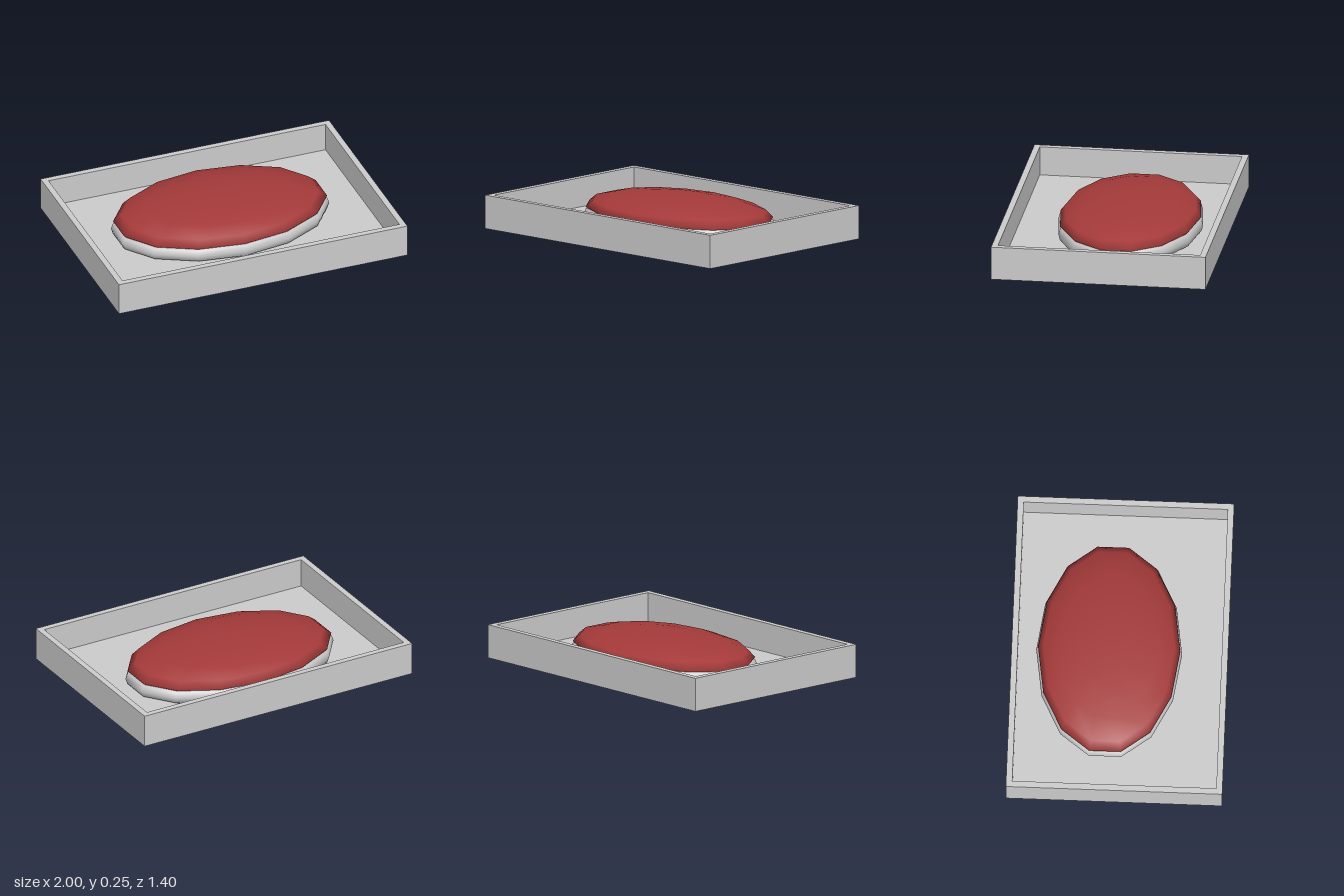
import * as THREE from 'three';

const SIDES = 14;
const CENTER_Z = -0.07;

function rectangle(PathType, w, d) {
  return new PathType([[-1, -1], [1, -1], [1, 1], [-1, 1]]
    .map(([x, y]) => new THREE.Vector2(x * w / 2, y * d / 2)));
}

export function createModel() {
  const group = new THREE.Group();
  const grey = new THREE.MeshStandardMaterial({ color: 0xcccccc });
  const red = new THREE.MeshStandardMaterial({ color: 0xa53a3a });

  function add(name, geometry, material, y = 0, z = 0) {
    const mesh = new THREE.Mesh(geometry, material);
    mesh.name = name;
    mesh.position.set(0, y, z);
    group.add(mesh);
  }

  // Rectangular tray: four walls and a thin floor
  const outline = rectangle(THREE.Shape, 2, 1.4);
  outline.holes.push(rectangle(THREE.Path, 1.92, 1.32));
  const walls = new THREE.ExtrudeGeometry(outline, { depth: 0.22, bevelEnabled: false });
  add('trayWalls', walls.rotateX(-Math.PI / 2), grey);
  add('trayFloor', new THREE.BoxGeometry(1.92, 0.028, 1.32), grey, 0.014);

  // Oval ring that holds the cushion, corners on the z axis
  const ring = new THREE.TorusGeometry(0.935, 0.065, 8, SIDES);
  ring.rotateX(Math.PI / 2).rotateY(Math.PI / 2).scale(0.735, 0.8, 0.472);
  add('ovalRing', ring, grey, 0.08, CENTER_Z);

  // Flattened oval cushion resting on the floor
  const cushion = new THREE.SphereGeometry(1, SIDES, 8, Math.PI / 2);
  cushion.scale(0.72, 0.115, 0.46);
  add('ovalCushion', cushion, red, 0.136, CENTER_Z);

  return group;
}
